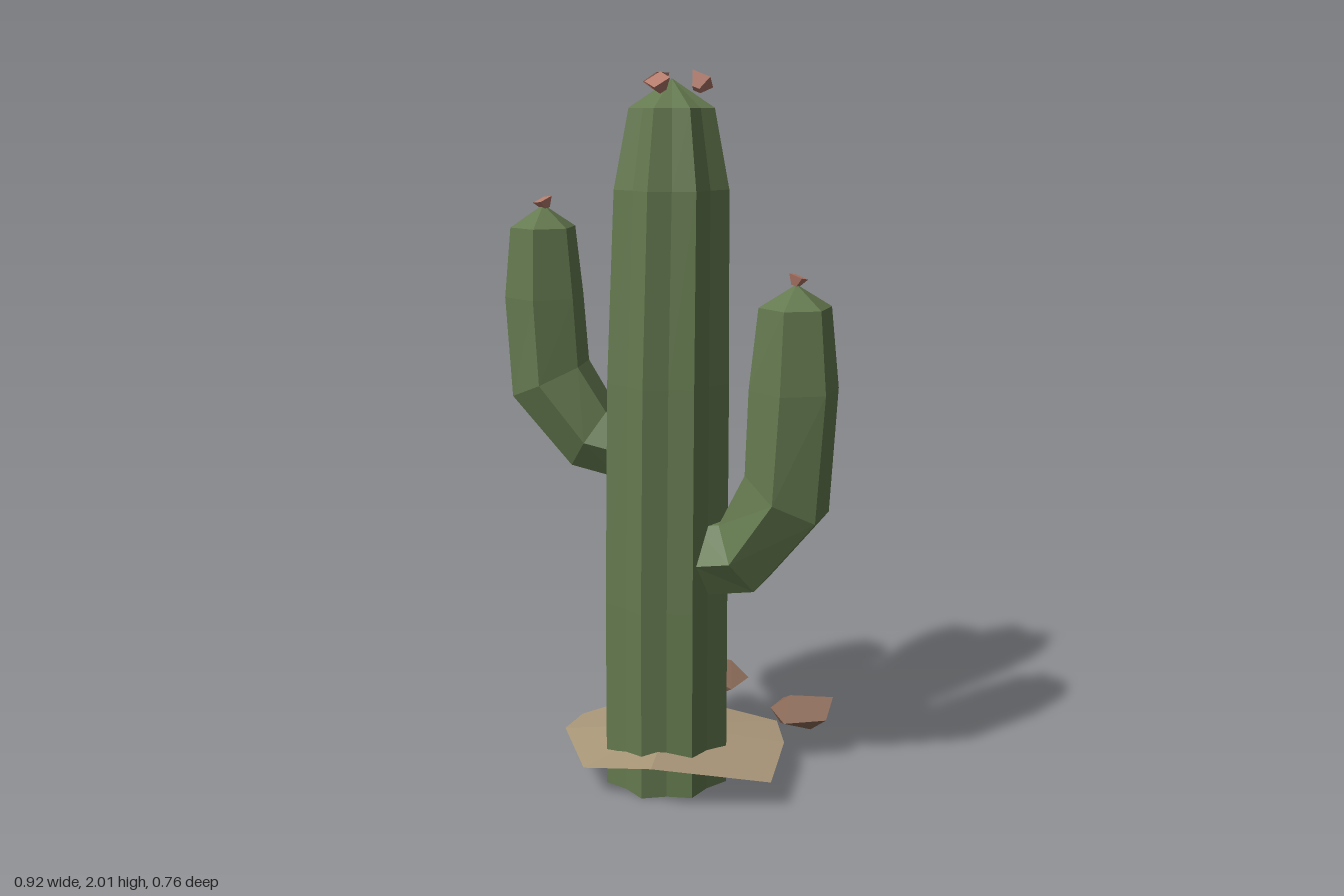
import * as THREE from 'three';
import { ConvexGeometry } from 'three/addons/geometries/ConvexGeometry.js';

const V = (x, y, z) => new THREE.Vector3(x, y, z);
const mat = (color, side = THREE.FrontSide) =>
  new THREE.MeshStandardMaterial({ color, side, flatShading: true });

const green = mat(0x64794f, THREE.DoubleSide);
const sandMat = mat(0xaa9779);
const rockMat = mat(0x8c6c59);
const flowerMat = mat(0xb47b6b, THREE.DoubleSide);

function add(parent, name, geometry, material) {
  const mesh = new THREE.Mesh(geometry, material);
  mesh.name = name;
  parent.add(mesh);
  return mesh;
}

// Skin a list of equal-length vertex rings with faceted triangles
function loft(rings) {
  const pos = [];
  const tri = (a, b, c) => {
    if (a.equals(b) || b.equals(c) || a.equals(c)) return;
    for (const p of [a, b, c]) pos.push(p.x, p.y, p.z);
  };
  for (let i = 0; i + 1 < rings.length; i++) {
    const n = rings[i].length;
    for (let k = 0; k < n; k++) {
      const j = (k + 1) % n;
      const [a, b, c, d] = [rings[i][k], rings[i + 1][k], rings[i + 1][j], rings[i][j]];
      tri(a, b, d);
      tri(b, c, d);
    }
  }
  const g = new THREE.BufferGeometry();
  g.setAttribute('position', new THREE.Float32BufferAttribute(pos, 3));
  g.computeVertexNormals();
  return g;
}

// Ribbed trunk: eight ridges and eight valleys, open below
function trunkGeometry() {
  const rows = [ // x, y, z, radius
    [-0.022, 0, 0.117, 0.187], [-0.02, 0.55, 0.117, 0.185], [-0.014, 1.18, 0.115, 0.179],
    [-0.005, 1.7, 0.109, 0.165], [-0.003, 1.91, 0.111, 0.122], [-0.003, 1.985, 0.109, 0],
  ];
  return loft(rows.map(([x, y, z, r]) => Array.from({ length: 16 }, (_, k) => {
    const a = k * Math.PI / 8, q = k % 2 ? r * 0.87 : r;
    return V(x + q * Math.cos(a), y, z + q * Math.sin(a));
  })));
}

// Six-sided arm bending upwards in the vertical plane through a base point;
// rows hold distance out, height, radius and slope in degrees
function armGeometry(base, heading, rows) {
  const out = V(Math.cos(heading), 0, Math.sin(heading));
  const up = V(0, 1, 0);
  const side = out.clone().cross(up);
  return loft(rows.map(([d, y, r, slope]) => {
    const s = THREE.MathUtils.degToRad(slope);
    const n = out.clone().multiplyScalar(Math.sin(s)).addScaledVector(up, -Math.cos(s));
    const c = V(base[0], y, base[1]).addScaledVector(out, d);
    return Array.from({ length: 6 }, (_, k) => {
      const a = Math.PI / 6 + k * Math.PI / 3;
      return c.clone().addScaledVector(n, r * Math.cos(a)).addScaledVector(side, r * Math.sin(a));
    });
  }));
}

export function createModel() {
  const model = new THREE.Group();
  model.name = 'cactus';

  add(model, 'trunk', trunkGeometry(), green);

  // Arms
  add(model, 'leftArm', armGeometry([0, 0.118], 0, [
    [0.11, 0.68, 0, 10], [0.11, 0.685, 0.113, 10], [0.212, 0.705, 0.12, 30],
    [0.336, 0.887, 0.133, 60], [0.35, 1.18, 0.123, 90], [0.35, 1.4, 0.099, 90], [0.352, 1.46, 0, 90],
  ]), green);
  add(model, 'rightArm', armGeometry([0, 0.105], Math.PI - 0.18, [
    [0.13, 0.985, 0, 10], [0.13, 0.985, 0.1, 10], [0.232, 1.01, 0.107, 33],
    [0.352, 1.168, 0.12, 65], [0.366, 1.4, 0.111, 90], [0.366, 1.59, 0.091, 90], [0.364, 1.65, 0, 90],
  ]), green);
  add(model, 'backArm', armGeometry([-0.04, 0.03], -Math.PI / 2 - 0.18, [
    [0.04, 1.215, 0, 20], [0.04, 1.215, 0.07, 20], [0.095, 1.24, 0.078, 40],
    [0.155, 1.385, 0.083, 65], [0.16, 1.48, 0.083, 85], [0.153, 1.59, 0.07, 90], [0.15, 1.635, 0, 90],
  ]), green);

  // Flowers: small tilted four-sided cups
  const flowers = [ // x, y, z, size, tilt about x, turn, tilt about z
    [-0.06, 1.972, 0.064, 0.038, -0.4, 0.4, 0.5],
    [0.065, 1.97, 0.082, 0.038, -0.2, 0.9, -0.5],
    [-0.01, 1.968, 0.178, 0.036, 0.6, 0.1, 0.1],
    [-0.355, 1.652, 0.17, 0.028, 0.2, 0.3, 0.3],
    [0.352, 1.468, 0.115, 0.028, 0.1, 0.6, -0.4],
    [-0.065, 1.64, -0.118, 0.028, -0.2, 0.2, 0.3],
  ];
  for (const [x, y, z, s, rx, ry, rz] of flowers) {
    const f = add(model, 'flower', new THREE.CylinderGeometry(s, s * 0.4, s * 0.95, 4), flowerMat);
    f.position.set(x, y, z);
    f.rotation.set(rx, ry, rz);
  }

  // Uneven sand patch around the foot
  const rim = [
    [0.34, 0.085, 0.235], [0.04, 0.138, 0.38], [-0.18, 0.088, 0.35], [-0.345, 0.085, 0.13],
    [-0.335, 0.09, 0.03], [-0.155, 0.125, -0.14], [0.235, 0.09, -0.14], [0.3, 0.088, -0.01],
  ].map(p => V(...p));
  add(model, 'sand', loft([
    rim.map(() => V(-0.02, 0.08, 0.11)), rim, rim.map(() => V(-0.02, 0.143, 0.11)),
  ]), sandMat);

  // Rocks
  const rocks = [
    [[-0.02, 0.14, -0.383], [0.082, 0.135, -0.32], [0.052, 0.12, -0.245], [-0.02, 0.15, -0.23],
      [-0.105, 0.12, -0.23], [-0.072, 0.145, -0.36], [-0.03, 0.195, -0.3], [0.02, 0.18, -0.33],
      [0, 0.09, -0.25], [-0.03, 0.09, -0.35], [0.03, 0.095, -0.33]],
    [[0.235, 0.14, -0.203], [0.397, 0.175, -0.185], [0.397, 0.13, -0.112], [0.288, 0.13, -0.045],
      [0.208, 0.12, -0.16], [0.28, 0.185, -0.13], [0.345, 0.085, -0.13], [0.25, 0.09, -0.13],
      [0.37, 0.1, -0.17]],
  ];
  for (const pts of rocks) add(model, 'rock', new ConvexGeometry(pts.map(p => V(...p))), rockMat);

  return model;
}
